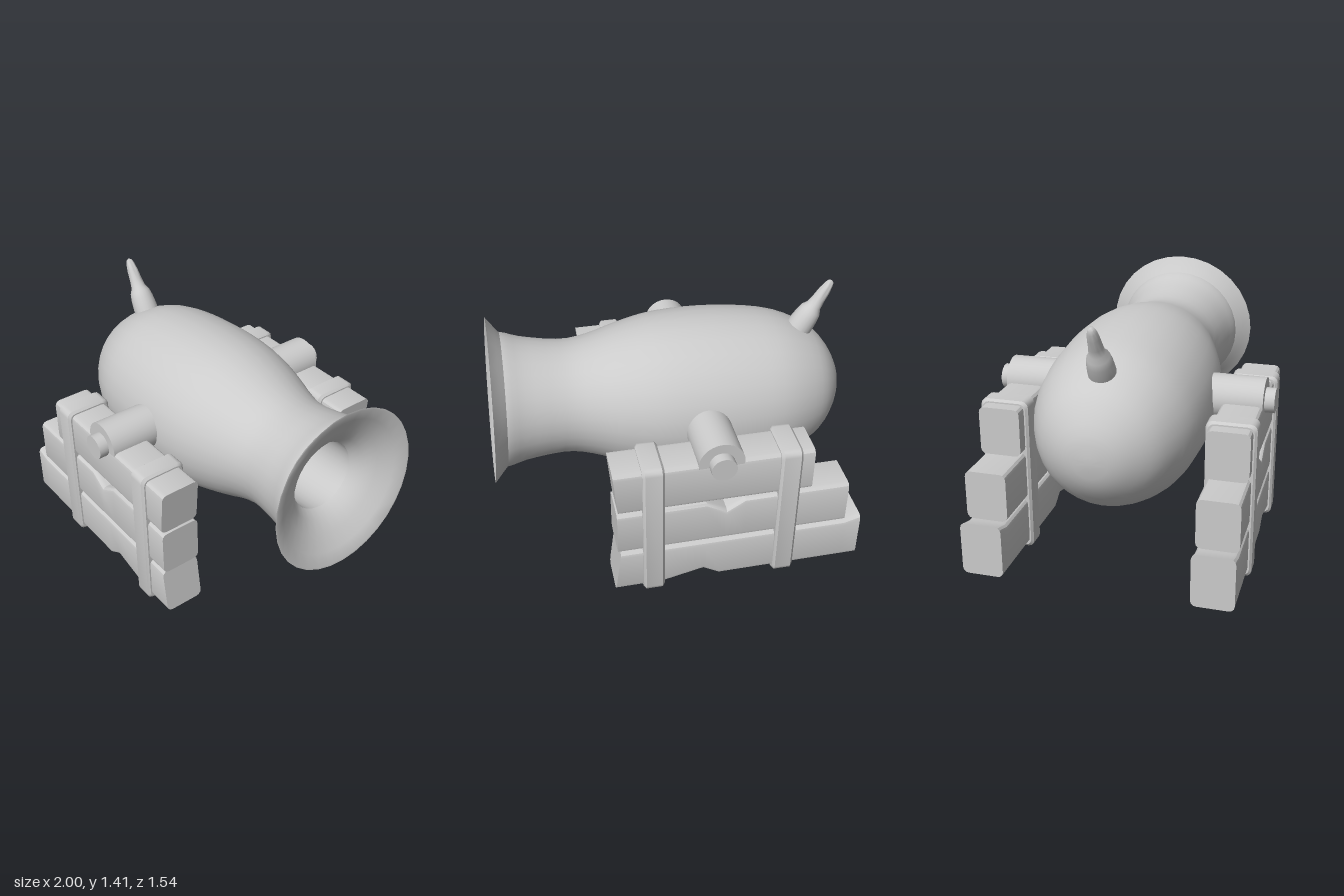
import * as THREE from 'three';
import { toCreasedNormals } from 'three/addons/utils/BufferGeometryUtils.js';

const material = new THREE.MeshStandardMaterial({ color: 0xcccccc });

function addMesh(parent, name, geometry, crease = 0.6) {
  const mesh = new THREE.Mesh(toCreasedNormals(geometry, crease), material);
  mesh.name = name;
  parent.add(mesh);
  return mesh;
}

const lathe = (points, segments) =>
  new THREE.LatheGeometry(points.map(([r, y]) => new THREE.Vector2(r, y)), segments);

// Beam along x with rounded corners; each station is [xBottom, xTop, yBottom, yTop, halfWidth]
function loftBeam(stations, radius) {
  const steps = 3, ring = 4 * (steps + 1);
  const positions = [], index = [];
  for (const [xb, xt, yb, yt, w] of stations) {
    for (let corner = 0; corner < 4; corner++) {
      for (let i = 0; i <= steps; i++) {
        const a = (corner + i / steps) * Math.PI / 2;
        const sz = corner === 0 || corner === 3 ? 1 : -1;
        const top = corner < 2;
        const z = sz * (w - radius) + radius * Math.cos(a);
        const y = (top ? yt - radius : yb + radius) + radius * Math.sin(a);
        positions.push(xb + (xt - xb) * (y - yb) / (yt - yb), y, z);
      }
    }
  }
  const last = stations.length - 1;
  for (let s = 0; s < last; s++) {
    for (let i = 0; i < ring; i++) {
      const a = s * ring + i, b = s * ring + (i + 1) % ring;
      index.push(a, a + ring, b, b, a + ring, b + ring);
    }
  }
  for (let i = 1; i < ring - 1; i++) {
    index.push(0, i, i + 1);
    index.push(last * ring, last * ring + i + 1, last * ring + i);
  }
  const geometry = new THREE.BufferGeometry();
  geometry.setAttribute('position', new THREE.Float32BufferAttribute(positions, 3));
  geometry.setIndex(index);
  return geometry;
}

// Hollow barrel, turned about its own axis and tipped up slightly
function buildBarrel(parent) {
  const outside = new THREE.SplineCurve([
    [0, -1.973], [0.13, -1.953], [0.26, -1.875], [0.345, -1.775], [0.42, -1.6],
    [0.45, -1.4], [0.457, -1.15], [0.436, -0.9], [0.385, -0.7], [0.336, -0.55],
    [0.312, -0.4], [0.335, -0.2], [0.362, -0.1], [0.368, -0.07],
  ].map(([r, y]) => new THREE.Vector2(r, y))).getPoints(36).map(p => [Math.max(p.x, 0), p.y]);
  const mouth = [
    [0.376, -0.063], [0.4, -0.042], [0.446, -0.004], [0.452, 0],
    [0.442, 0], [0.38, -0.03], [0.3, -0.075], [0.23, -0.12], [0.19, -0.17],
  ];
  const bore = [
    [0.19, -0.3], [0.2, -1.2], [0.18, -1.33], [0.13, -1.42], [0.06, -1.46], [0, -1.47],
  ];
  const barrel = addMesh(parent, 'barrel', lathe([...outside, ...mouth, ...bore], 32));
  barrel.position.set(0.971, 0.885, 0);
  barrel.rotation.z = -Math.PI / 2 + 0.066;
}

// Tapered fuse leaning backward
function buildFuse(parent) {
  const fuse = addMesh(parent, 'fuse', lathe([
    [0.071, -0.06], [0.071, 0.05], [0.066, 0.11], [0.058, 0.15], [0.042, 0.178],
    [0.036, 0.22], [0.031, 0.28], [0.024, 0.32], [0.016, 0.343], [0, 0.352],
  ], 20), 0.9);
  fuse.position.set(-0.747, 1.11, 0);
  fuse.rotation.z = Math.atan2(0.18, 0.3);
}

// Stacked planks, worn at the ends and edges, bound by two straps
function buildSupport(side) {
  const support = new THREE.Group();
  support.name = side > 0 ? 'frontSupport' : 'backSupport';
  const w = 0.112;
  addMesh(support, 'bottomPlank', loftBeam([
    [-0.96, -0.96, 0.028, 0.32, w], [-0.87, -0.87, 0.028, 0.294, w],
    [-0.16, -0.16, 0.028, 0.294, w], [-0.07, -0.07, 0.083, 0.294, w],
    [0.16, 0.16, 0.028, 0.294, w], [0.42, 0.385, 0.028, 0.294, w],
  ], 0.03), 0.5);
  addMesh(support, 'middlePlank', loftBeam([
    [-0.865, -0.865, 0.302, 0.57, w], [-0.29, -0.29, 0.302, 0.57, w],
    [-0.19, -0.19, 0.302, 0.507, w], [-0.08, -0.08, 0.302, 0.57, w],
    [0.4, 0.4, 0.302, 0.57, w],
  ], 0.03), 0.5);
  addMesh(support, 'topPlank', loftBeam([
    [-0.65, -0.65, 0.578, 0.842, w], [0.392, 0.415, 0.578, 0.842, w],
  ], 0.03), 0.5);

  for (const x of [-0.523, 0.207]) {
    const stations = [[-0.058, 0.012], [-0.045, 0], [0.045, 0], [0.058, 0.012]].map(
      ([dx, inset]) => [x + dx, x + dx, inset, 0.862 - inset, 0.132 - inset]);
    addMesh(support, 'strap', loftBeam(stations, 0.035));
  }
  support.position.z = side * 0.608;
  return support;
}

// Pivot arm, flush with the planks, with a narrower pin at its end
function buildTrunnion(side) {
  const trunnion = new THREE.Group();
  trunnion.name = side > 0 ? 'frontTrunnion' : 'backTrunnion';
  addMesh(trunnion, 'trunnionArm', lathe([[0.122, 0.38], [0.122, 0.718], [0, 0.718]], 28));
  addMesh(trunnion, 'trunnionPin', lathe([[0.068, 0.7], [0.068, 0.772], [0, 0.772]], 20));
  trunnion.position.set(-0.15, 0.84, 0);
  trunnion.rotation.x = side * Math.PI / 2;
  return trunnion;
}

export function createModel() {
  const model = new THREE.Group();
  model.name = 'cannon';
  buildBarrel(model);
  buildFuse(model);
  for (const side of [1, -1]) model.add(buildSupport(side), buildTrunnion(side));
  return model;
}
